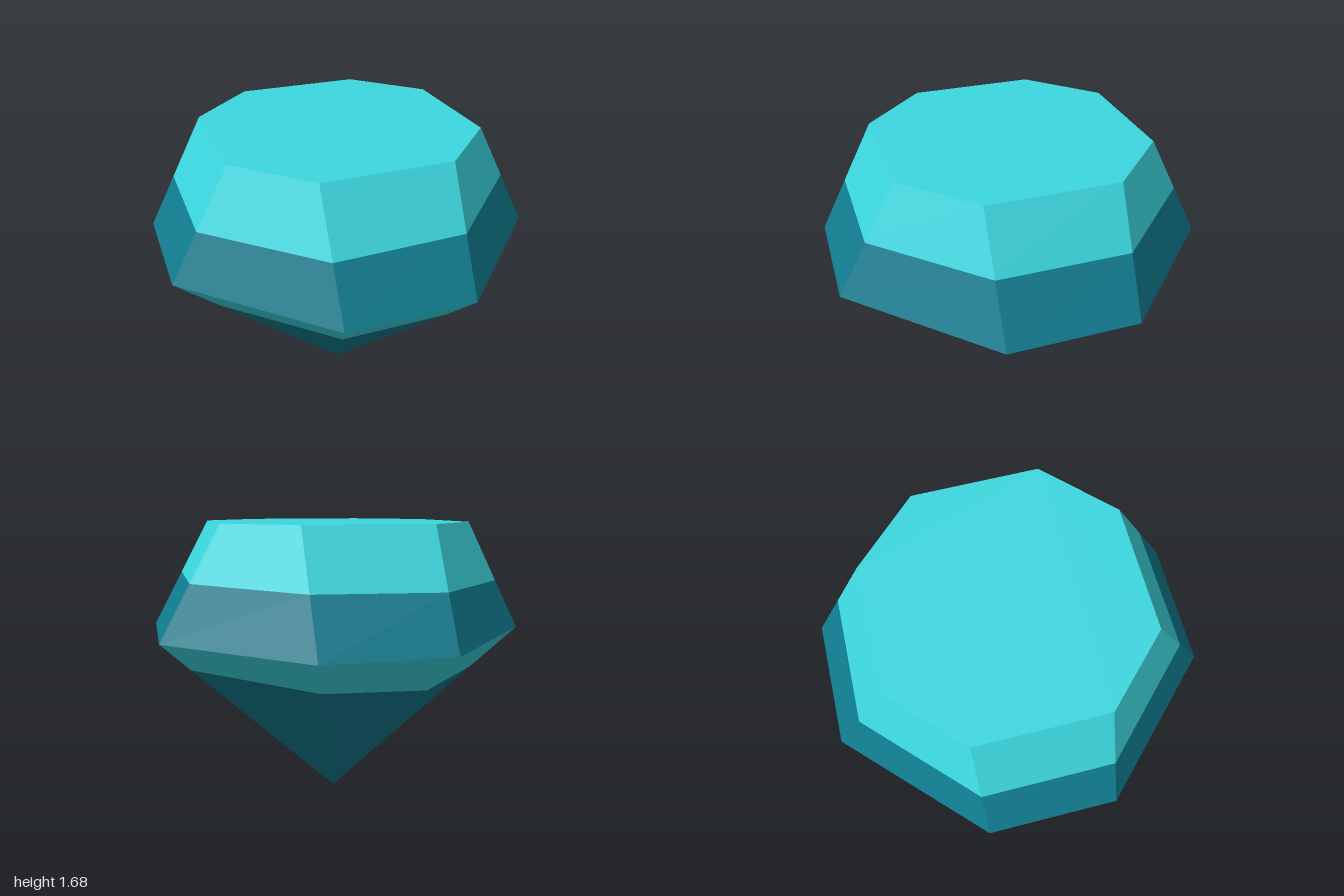
import * as THREE from 'three';

// Octagonal cross-section with unequal sides: half is the outer half-width, side the half-length of a flat
function ring(half, side, y) {
  const points = [];
  for (let q = 0; q < 4; q++) {
    for (const [x, z] of [[half, -side], [half, side]]) {
      const c = [1, 0, -1, 0][q], s = [0, 1, 0, -1][q];
      points.push(new THREE.Vector3(x * c - z * s, y, x * s + z * c));
    }
  }
  return points;
}

// Cross-section where the tilted plane y = a + b*x + c*z cuts the edges between two rings
function cut(lower, upper, a, b, c) {
  const height = (p) => p.y - a - b * p.x - c * p.z;
  return lower.map((p, i) => {
    const h0 = height(p), h1 = height(upper[i]);
    return p.clone().lerp(upper[i], h0 / (h0 - h1));
  });
}

// Unshared corners keep every facet flat
function facets(name, triangles, material) {
  const geometry = new THREE.BufferGeometry().setFromPoints(triangles);
  geometry.computeVertexNormals();
  const mesh = new THREE.Mesh(geometry, material);
  mesh.name = name;
  return mesh;
}

function band(name, lower, upper, material) {
  const triangles = [];
  lower.forEach((p, i) => {
    const j = (i + 1) % lower.length;
    triangles.push(lower[j], p, upper[i], lower[j], upper[i], upper[j]);
  });
  return facets(name, triangles, material);
}

export function createModel() {
  const model = new THREE.Group();
  model.name = 'gem';

  const turquoise = new THREE.MeshStandardMaterial({ color: 0x3cd7df });
  turquoise.name = 'bright turquoise';
  const teal = new THREE.MeshStandardMaterial({ color: 0x107c8f });
  teal.name = 'deep teal';

  const table = ring(0.757, 0.252, 1.68);
  const girdle = ring(1, 0.493, 1.05);
  const apex = new THREE.Vector3(0, 0, 0);
  const crownLine = cut(girdle, table, 1.353, 0.012, -0.012);
  const pavilionLine = cut(girdle.map(() => apex), girdle, 0.842, 0.036, -0.036);

  // Flat top
  const top = [];
  for (let i = 1; i < table.length - 1; i++) top.push(table[0], table[i + 1], table[i]);
  model.add(facets('table', top, turquoise));

  // Sloping crown
  model.add(band('upperCrown', crownLine, table, turquoise));
  model.add(band('lowerCrown', girdle, crownLine, teal));

  // Pointed pavilion
  model.add(band('upperPavilion', pavilionLine, girdle, turquoise));
  const tip = [];
  pavilionLine.forEach((p, i) => tip.push(apex, p, pavilionLine[(i + 1) % pavilionLine.length]));
  model.add(facets('pavilionTip', tip, teal));

  return model;
}
